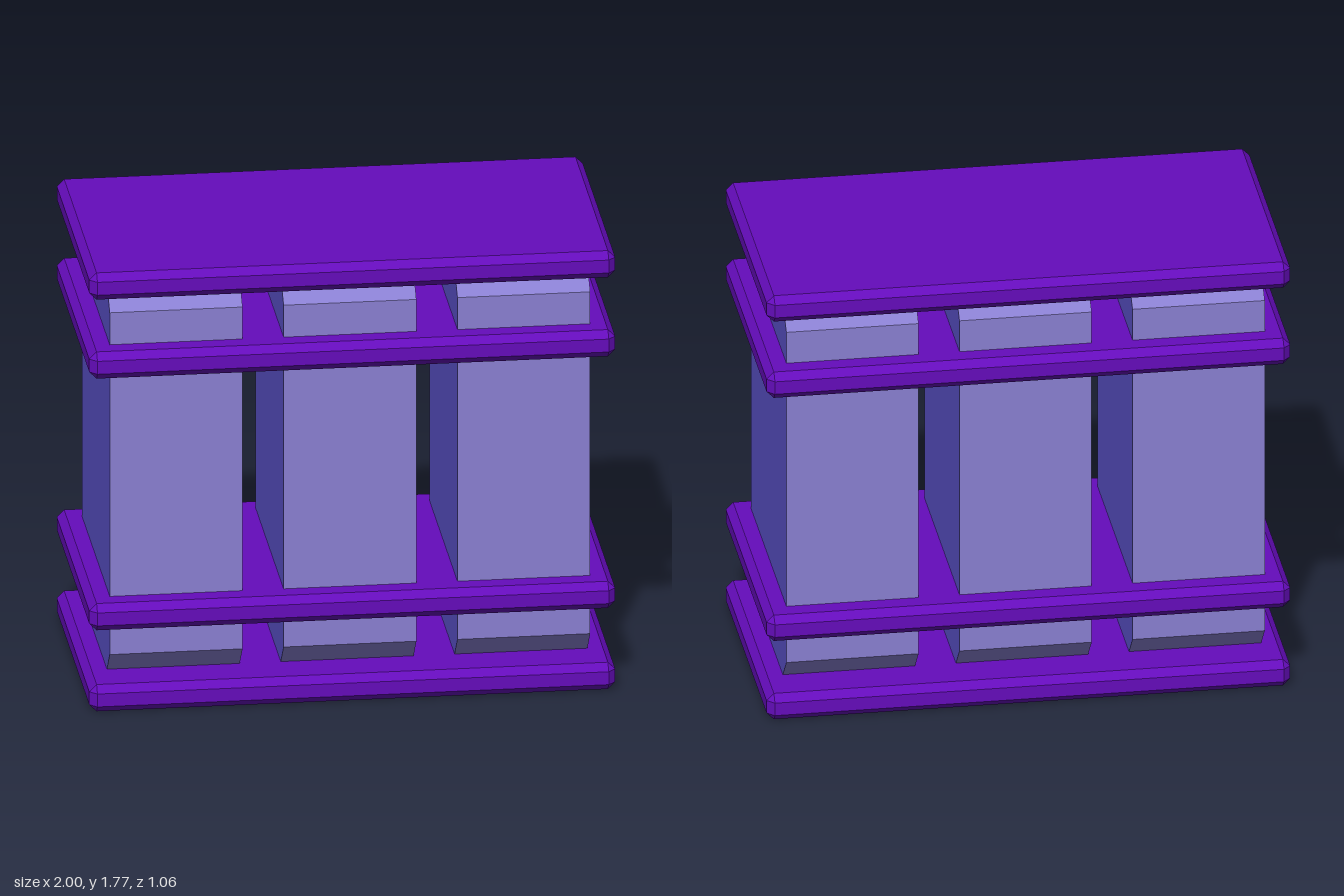
import * as THREE from 'three';
import { ConvexGeometry } from 'three/addons/geometries/ConvexGeometry.js';

const material = (name, color) => {
  const m = new THREE.MeshStandardMaterial({ color });
  m.name = name;
  return m;
};

// Box with every edge and corner chamfered by b
function chamferedBox(hx, hy, hz, b) {
  const points = [];
  for (const x of [-1, 1]) for (const y of [-1, 1]) for (const z of [-1, 1]) {
    points.push(
      new THREE.Vector3(x * hx, y * (hy - b), z * (hz - b)),
      new THREE.Vector3(x * (hx - b), y * hy, z * (hz - b)),
      new THREE.Vector3(x * (hx - b), y * (hy - b), z * hz));
  }
  return new ConvexGeometry(points);
}

// Block with chamfered top and bottom edges at front and back, extruded along x
function blockGeometry(width) {
  const shape = new THREE.Shape([
    [-0.345, 0.108], [0.345, 0.108], [0.433, 0.2], [0.433, 1.58],
    [0.345, 1.667], [-0.345, 1.667], [-0.433, 1.58], [-0.433, 0.2],
  ].map(([z, y]) => new THREE.Vector2(z, y)));
  return new THREE.ExtrudeGeometry(shape, { depth: width, bevelEnabled: false })
    .translate(0, 0, -width / 2)
    .rotateY(Math.PI / 2);
}

export function createModel() {
  const group = new THREE.Group();
  const purple = material('deep purple', 0x650cbc);
  const lavender = material('lavender', 0x8a80d2);
  const blue = material('blue violet', 0x5f55d2);

  // Four horizontal plates
  const plate = chamferedBox(1, 0.054, 0.53, 0.028);
  const plates = { bottomPlate: 0.054, lowerBand: 0.381, upperBand: 1.397, topPlate: 1.716 };
  for (const [name, y] of Object.entries(plates)) {
    const mesh = new THREE.Mesh(plate, purple);
    mesh.name = name;
    mesh.position.y = y;
    group.add(mesh);
  }

  // Three upright blocks: blue sides, lavender front and back
  const block = blockGeometry(0.505);
  const blocks = { rightBlock: -0.661, middleBlock: 0, leftBlock: 0.661 };
  for (const [name, x] of Object.entries(blocks)) {
    const mesh = new THREE.Mesh(block, [blue, lavender]);
    mesh.name = name;
    mesh.position.x = x;
    group.add(mesh);
  }
  return group;
}
